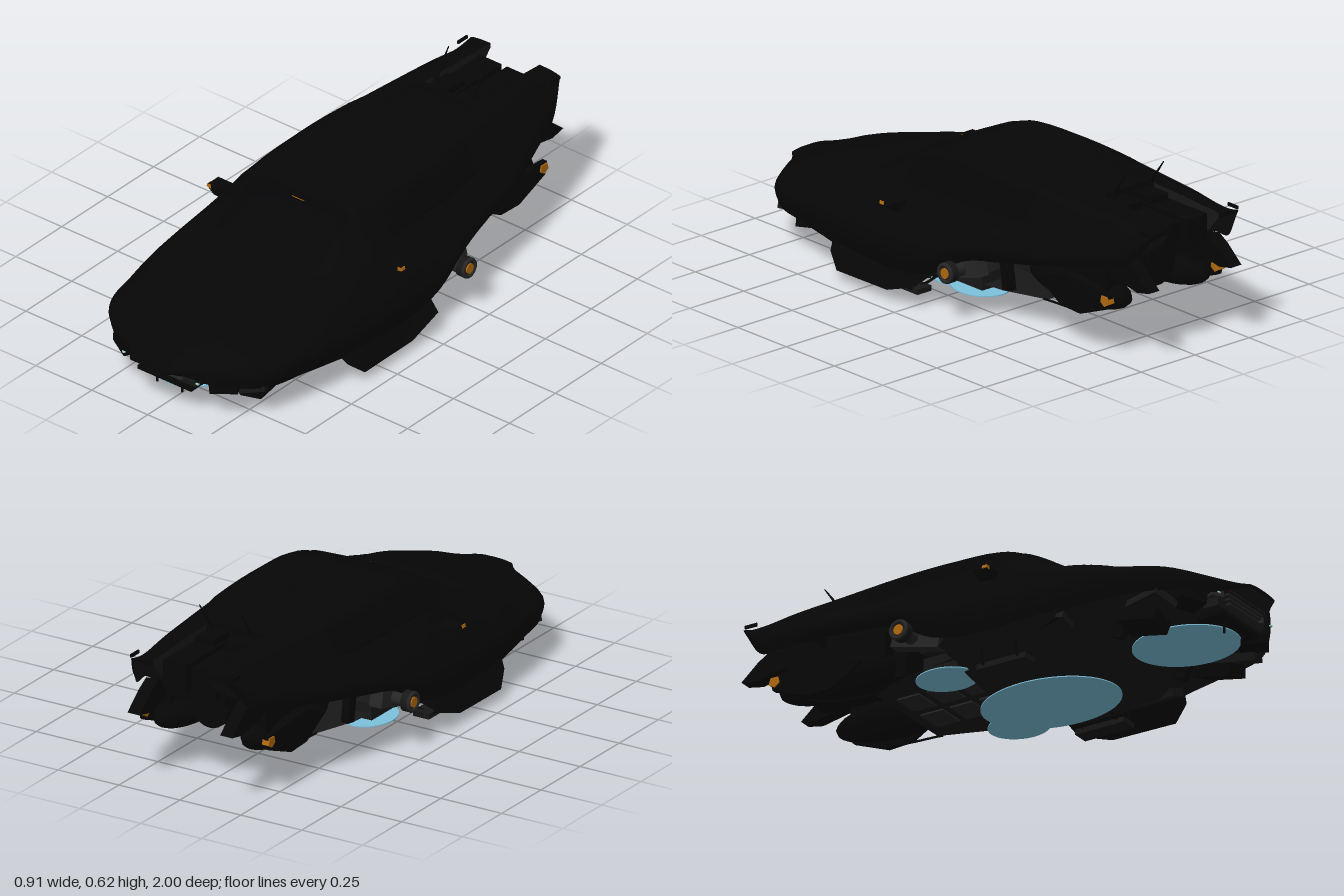
import * as THREE from 'three';
import { toCreasedNormals } from 'three/addons/utils/BufferGeometryUtils.js';

const mat = (name, color) => {
  const m = new THREE.MeshStandardMaterial({ color, side: THREE.DoubleSide });
  m.name = name;
  return m;
};

// Hull stations: z, half width, roof y, roof half width, roof edge y, shoulder x, shoulder y, widest y, sill y
const STATIONS = [
  [1.0, 0.08, 0.212, 0.04, 0.211, 0.06, 0.208, 0.203, 0.195],
  [0.95, 0.125, 0.226, 0.06, 0.223, 0.1, 0.216, 0.203, 0.18],
  [0.9, 0.21, 0.24, 0.11, 0.235, 0.17, 0.222, 0.2, 0.15],
  [0.8, 0.338, 0.27, 0.18, 0.262, 0.28, 0.24, 0.2, 0.138],
  [0.6, 0.4, 0.33, 0.22, 0.31, 0.335, 0.27, 0.21, 0.13],
  [0.47, 0.42, 0.355, 0.24, 0.345, 0.355, 0.3, 0.21, 0.12],
  [0.39, 0.427, 0.364, 0.23, 0.355, 0.355, 0.315, 0.21, 0.11],
  [0.2, 0.436, 0.472, 0.22, 0.458, 0.345, 0.36, 0.21, 0.11],
  [0.1, 0.437, 0.507, 0.225, 0.498, 0.34, 0.383, 0.21, 0.11],
  [-0.1, 0.432, 0.519, 0.23, 0.51, 0.336, 0.39, 0.23, 0.15],
  [-0.25, 0.417, 0.521, 0.23, 0.51, 0.33, 0.39, 0.28, 0.235],
  [-0.4, 0.39, 0.521, 0.22, 0.51, 0.312, 0.39, 0.31, 0.265],
  [-0.6, 0.352, 0.518, 0.2, 0.507, 0.288, 0.42, 0.34, 0.3],
  [-0.8, 0.288, 0.511, 0.185, 0.502, 0.245, 0.44, 0.38, 0.335],
  [-0.91, 0.25, 0.504, 0.17, 0.497, 0.22, 0.455, 0.405, 0.36],
  [-1.0, 0.2, 0.498, 0.16, 0.495, 0.19, 0.49, 0.484, 0.476],
];
const hull = new THREE.CubicInterpolant(
  STATIONS.map((s) => -s[0]), STATIONS.flatMap((s) => s.slice(1)), 8);

// Half cross-section of the hull as a curve from the roof centre to the sill
function section(z) {
  const [w, yT, wr, yR, ws, yS, yM, yB] = hull.evaluate(-z);
  const p = [[0, yT], [wr * 0.55, yT - (yT - yR) * 0.2], [wr, yR],
    [ws * 0.62 + wr * 0.38, yS * 0.55 + yR * 0.45], [ws, yS], [w, yM], [w * 0.95, yB]];
  return new THREE.CatmullRomCurve3(p.map(([x, y]) => new THREE.Vector3(x, y, z)), false, 'centripetal');
}

// Surface through rows of points
function grid(rows, crease = 0.6) {
  const n = rows[0].length, idx = [];
  for (let i = 0; i < rows.length - 1; i++) for (let j = 0; j < n - 1; j++) {
    const a = i * n + j, b = a + n;
    idx.push(a, a + 1, b, b, a + 1, b + 1);
  }
  const g = new THREE.BufferGeometry();
  g.setAttribute('position', new THREE.Float32BufferAttribute(rows.flat().flatMap((v) => [v.x, v.y, v.z]), 3));
  g.setIndex(idx);
  return toCreasedNormals(g, crease);
}

export function createModel() {
  const root = new THREE.Group();
  root.name = 'hoverCar';
  const paint = mat('black paint', 0x060606);
  const glass = mat('dark glass', 0x050506);
  const pan = mat('underbody grey', 0x171717);
  const metal = mat('grey metal', 0x262626);
  const amber = mat('amber light', 0xb0690f);
  const glow = mat('hover glow blue', 0x7dc1db);
  const lamp = mat('pale green lamp', 0x9fd8c4);

  const add = (name, geo, m, x = 0, y = 0, z = 0, rx = 0, ry = 0, rz = 0) => {
    const o = new THREE.Mesh(geo, m);
    o.name = name;
    o.position.set(x, y, z);
    o.rotation.set(rx, ry, rz);
    root.add(o);
    return o;
  };
  const box = (name, m, w, h, d, ...at) => add(name, new THREE.BoxGeometry(w, h, d), m, ...at);
  const both = (fn) => [1, -1].forEach(fn);
  const tube = (name, m, r, pts) => add(name, new THREE.TubeGeometry(
    new THREE.CatmullRomCurve3(pts.map((p) => new THREE.Vector3(...p))), 20, r, 6), m);
  const extrude = (pts, depth) => new THREE.ExtrudeGeometry(
    new THREE.Shape(pts.map(([a, b]) => new THREE.Vector2(a, b))), { depth, bevelEnabled: false }).translate(0, 0, -depth / 2);
  // Plate cut from a side outline (z, y), centred on x
  const plate = (name, m, pts, t, x) =>
    add(name, extrude(pts.map(([z, y]) => [-z, y]), t).rotateY(Math.PI / 2), m, x);

  // Hull skin, recessed underside and end faces, split where the tail notch begins
  const hullPart = (name, s, z0, z1, inner, steps) => {
    const skin = [], under = [];
    for (let i = 0; i <= steps; i++) {
      const z = z0 + (z1 - z0) * (i / steps);
      const row = section(z).getPoints(28).map((p) => p.set(s * Math.max(p.x, inner), p.y, z));
      const low = row[28], top = row[0], rise = (top.y - low.y) * 0.2;
      skin.push(row);
      under.push([low, new THREE.Vector3(s * Math.max(Math.abs(low.x) * 0.88, inner), low.y + rise, z),
        new THREE.Vector3(s * inner, low.y + rise, z), ...(inner ? [top] : [])]);
    }
    const end = (row) => grid([row, row.map((p) => new THREE.Vector3(s * inner, row[28].y, p.z))]);
    add(name, grid(skin), paint);
    add(name + 'Underside', grid(under), pan);
    add(name + 'FrontFace', end(skin[0]), paint);
    add(name + 'RearFace', end(skin[steps]), paint);
  };
  // Thin panel lying just over the hull, its border dipping to the skin
  const panel = (name, m, s, z0, z1, u0, u1, lift = 0.004) => {
    const rows = [];
    for (let i = 0; i <= 10; i++) {
      const z = z0 + (z1 - z0) * (i / 10), c = section(z), row = [];
      for (let j = 0; j <= 10; j++) {
        const u = u0 + (u1 - u0) * (j / 10), p = c.getPoint(u), t = c.getTangent(u);
        const k = Math.min(i, 10 - i, j || (u0 ? 0 : 9), 10 - j) > 0 ? lift : 0;
        row.push(new THREE.Vector3(s * (p.x - t.y * k), p.y + t.x * k, z));
      }
      rows.push(row);
    }
    add(name, grid(rows), m);
  };

  both((s) => {
    hullPart('body', s, 1, -0.64, 0, 60);
    hullPart('tailBoom', s, -0.64, -1, 0.11, 16);
    panel('hoodPanel', paint, s, 0.9, 0.46, 0, 0.33);
    panel('windscreen', glass, s, 0.37, 0.15, 0, 0.33);
    panel('sideWindow', glass, s, 0.16, -0.45, 0.36, 0.62);
    panel('roofHatch', paint, s, -0.25, -0.62, 0, 0.2, 0.005);

    // Swept mirrors with amber tips
    add('mirror', extrude([[0.3, 0.325], [0.36, 0.32], [0.405, 0.322], [0.434, 0.346], [0.43, 0.357], [0.3, 0.357]]
      .map(([x, y]) => [s * x, y]), 0.055), paint, 0, 0, 0.12);
    add('mirrorLight', extrude([[0.416, 0.342], [0.436, 0.345], [0.4335, 0.356], [0.418, 0.356]]
      .map(([x, y]) => [s * x, y]), 0.02), amber, 0, 0, 0.139);

    // Side thrusters set in arches
    const turn = Math.PI / 2;
    box('thrusterArch', metal, 0.05, 0.1, 0.2, s * 0.345, 0.2, -0.18, 0.25);
    add('thrusterArm', new THREE.CylinderGeometry(0.025, 0.03, 0.14, 16), metal, s * 0.36, 0.19, -0.2, 0, 0, turn);
    add('thruster', new THREE.CylinderGeometry(0.038, 0.038, 0.03, 24), pan, s * 0.432, 0.19, -0.205, 0, 0, turn);
    add('thrusterRing', new THREE.TorusGeometry(0.031, 0.008, 8, 24), metal, s * 0.446, 0.19, -0.205, 0, turn);
    add('thrusterLight', new THREE.CylinderGeometry(0.019, 0.019, 0.006, 20), amber, s * 0.449, 0.19, -0.205, 0, 0, turn);

    // Downward side fins
    add('sideFin', grid([0.42, 0.36, 0.1, -0.04].map((z, i) => [
      new THREE.Vector3(s * 0.405, 0.14, z), new THREE.Vector3(s * (i ? 0.445 : 0.42), [0.09, 0.04, 0.042, 0.09][i], z),
      new THREE.Vector3(s * 0.365, 0.115, z)])), paint);

    // Landing skids and their brackets
    box('skid', pan, 0.065, 0.02, 0.2, s * 0.315, 0.022, 0.15);
    [0.22, 0.08].forEach((z) => tube('skidBracket', paint, 0.005,
      [[s * 0.23, 0.045, z], [s * 0.29, 0.03, z], [s * 0.355, 0.03, z], [s * 0.36, 0.06, z], [s * 0.36, 0.12, z]]));

    // Lower nose: lamps, intakes and bumper pieces
    box('noseLamp', lamp, 0.012, 0.005, 0.006, s * 0.165, 0.158, 0.93);
    box('noseIntake', paint, 0.1, 0.035, 0.1, s * 0.21, 0.135, 0.83, 0, s * 0.5, s * 0.1);
    box('noseCorner', pan, 0.1, 0.03, 0.16, s * 0.27, 0.125, 0.72, 0, s * 0.3, s * 0.3);
    box('frontStabiliser', paint, 0.1, 0.045, 0.15, s * 0.24, 0.08, 0.67, 0.2, 0, s * 0.25);
    box('frontStrut', paint, 0.03, 0.07, 0.05, s * 0.2, 0.1, 0.55, 0.4);
    box('sillBeam', pan, 0.07, 0.03, 0.42, s * 0.35, 0.105, 0.22, 0, 0, s * 0.35);
    box('grilleProbe', paint, 0.006, 0.045, 0.006, s * 0.055, 0.08, 0.88);
    box('grilleSide', metal, 0.05, 0.03, 0.03, s * 0.14, 0.17, 0.9, 0, s * 0.5);

    // Tail engines, flaps and pipes
    add('enginePod', new THREE.SphereGeometry(1, 24, 14), paint, s * 0.18, 0.205, -0.61).scale.set(0.085, 0.07, 0.25);
    plate('podFlap', paint, [[-0.48, 0.21], [-0.6, 0.14], [-0.7, 0.135], [-0.84, 0.19], [-0.85, 0.24], [-0.6, 0.26]], 0.02, s * 0.255);
    plate('podLight', amber, [[-0.81, 0.213], [-0.83, 0.198], [-0.853, 0.212], [-0.845, 0.236], [-0.815, 0.236]], 0.028, s * 0.256);
    plate('tailFin', paint, [[-0.78, 0.33], [-0.88, 0.37], [-0.93, 0.34], [-1, 0.28], [-0.94, 0.268], [-0.8, 0.295]], 0.05, s * 0.19);
    box('podPylon', paint, 0.06, 0.14, 0.4, s * 0.2, 0.29, -0.6);
    box('rearStrut', paint, 0.03, 0.1, 0.04, s * 0.25, 0.16, -0.31, 0.15);
    tube('rearPipe', paint, 0.004, [[s * 0.2, 0.1, -0.44], [s * 0.21, 0.125, -0.66], [s * 0.2, 0.2, -0.82]]);
    box('tailTip', paint, 0.006, 0.012, 0.05, s * 0.207, 0.49, -0.965);

    // Engine blocks in the tail notch, and antennas
    box('tailBlock', paint, 0.096, 0.1, 0.3, s * 0.06, 0.43, -0.79);
    box('tailBlockStep', paint, 0.075, 0.03, 0.1, s * 0.06, 0.49, -0.7);
    add('antennaBase', new THREE.CylinderGeometry(0.008, 0.013, 0.02, 10), paint, s * 0.085, 0.522, -0.675);
    add('antenna', new THREE.CylinderGeometry(0.002, 0.007, 0.125, 8), paint, s * 0.085, 0.57, -0.705, -0.62);

    // Small rear hover disc
    add('rearHoverDisc', new THREE.CylinderGeometry(1, 1, 0.004, 40), glow, s * 0.23, 0.072, -0.145).scale.set(0.095, 1, 0.115);
    box('rearHoverMount', pan, 0.1, 0.06, 0.14, s * 0.23, 0.115, -0.14);

    // Panels under the rear floor
    [-0.13, -0.25, -0.37].forEach((z) => box('floorPanel', metal, 0.11, 0.006, 0.09, s * 0.075, 0.101, z));
  });

  // Centre hover discs: x radius, z radius, y, z
  [['frontHoverDisc', 0.16, 0.2, 0.08, 0.69], ['mainHoverDisc', 0.19, 0.265, 0.003, 0.135],
    ['innerHoverDisc', 0.13, 0.195, 0.009, 0.135]].forEach(([name, rx, rz, y, z]) => {
    add(name, new THREE.CylinderGeometry(1, 1, 0.004, 56), glow, 0, y, z).scale.set(rx, 1, rz);
  });

  // Belly: tapered hull under the cabin
  add('bellyPod', grid([[0.45, 0.09], [0.38, 0.03], [0.1, 0.025], [-0.06, 0.05], [-0.1, 0.1]].map(([z, y]) =>
    [[0.37, 0.13], [0.31, y + 0.045], [0.24, y + 0.015], [0.11, y - 0.006], [-0.11, y - 0.006], [-0.24, y + 0.015],
      [-0.31, y + 0.045], [-0.37, 0.13]].map(([x, h]) => new THREE.Vector3(x, Math.min(h, 0.13), z))), 0.3), pan);
  box('bellyBlock', paint, 0.2, 0.02, 0.24, 0, 0.022, 0.14);

  // Rear floor tray and engine
  add('rearFloor', grid([[-0.05, 0.3, 0.11], [-0.3, 0.26, 0.106], [-0.46, 0.2, 0.103]].map(([z, w, y]) =>
    [w, -w].map((x) => new THREE.Vector3(x, y, z)))), pan);
  box('rearKeel', pan, 0.16, 0.13, 0.28, 0, 0.17, -0.19);
  add('rearEngine', new THREE.CylinderGeometry(0.09, 0.075, 0.42, 24), paint, 0, 0.28, -0.6, Math.PI / 2);
  box('rearTray', paint, 0.24, 0.05, 0.2, 0, 0.36, -0.8);

  // Nose grille and lower lip
  box('grilleRecess', pan, 0.28, 0.06, 0.06, 0, 0.155, 0.88);
  for (let i = 0; i < 4; i++) box('grilleSlat', metal, 0.24 - i * 0.02, 0.005, 0.02, 0, 0.186 - i * 0.014, 0.93 - i * 0.004);
  box('noseLip', paint, 0.24, 0.014, 0.1, 0, 0.105, 0.86);

  // Roof light under a small brow
  box('roofLight', amber, 0.05, 0.004, 0.008, 0, 0.487, 0.18);
  box('roofLightBrow', paint, 0.056, 0.003, 0.014, 0, 0.4905, 0.177);
  return root;
}
